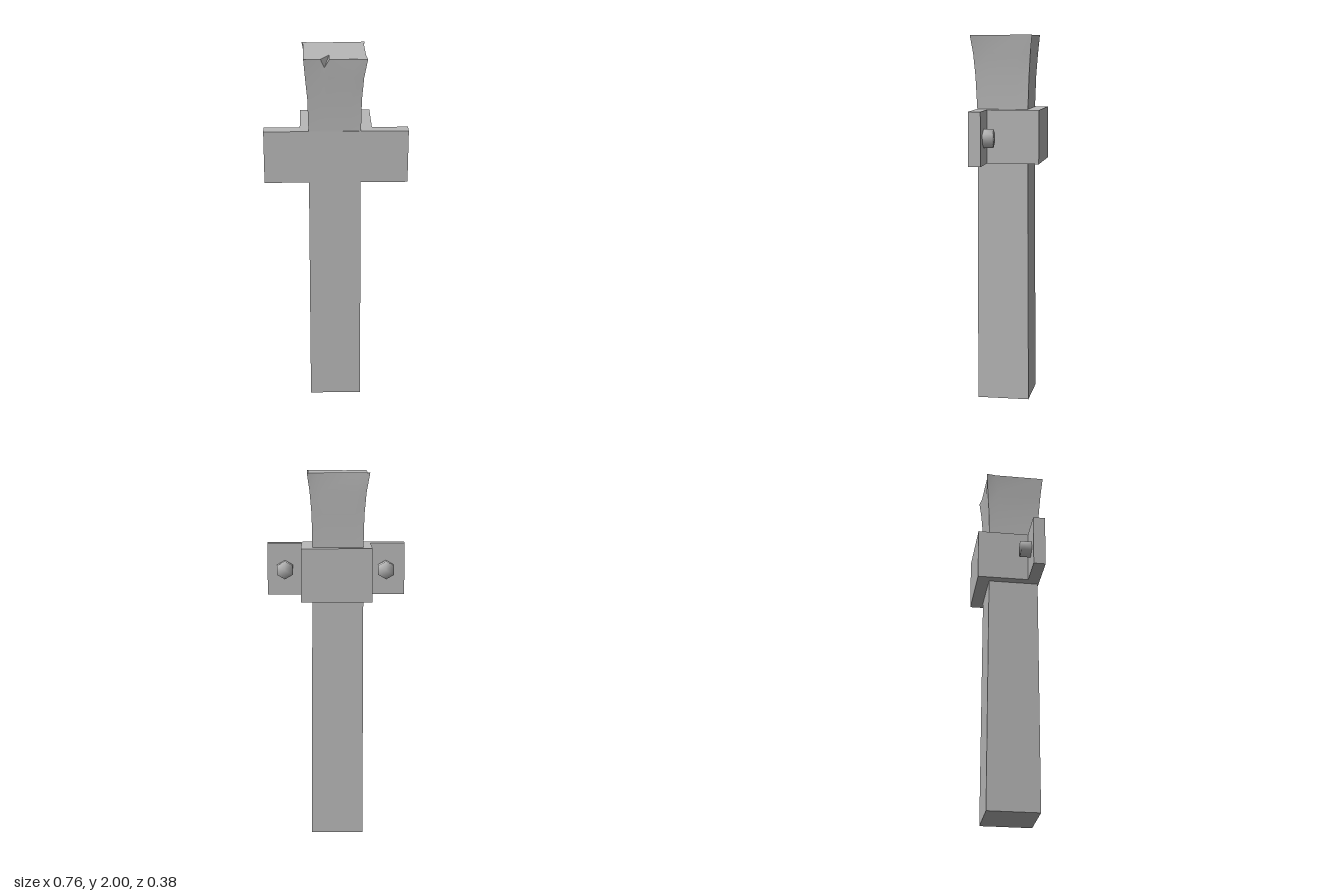
import * as THREE from 'three';
import { mergeVertices, toCreasedNormals } from 'three/addons/utils/BufferGeometryUtils.js';

// Square stake lofted through rectangles, with a battered, flared head
function stakeGeometry() {
  // Head outline: position round the unit square (u, v), then x, y, z at the top
  const head = [
    [-1, -1, -0.177, 2, -0.144], [-0.65, -1, -0.117, 2, -0.137], [0.6, -1, 0.1, 2, -0.139],
    [1, -1, 0.157, 2, -0.147], [1, -0.55, 0.152, 2, -0.08], [1, 0.5, 0.154, 2, 0.1],
    [1, 1, 0.161, 2, 0.187], [0.6, 1, 0.1, 2, 0.18], [-0.2, 1, -0.035, 2, 0.181],
    [-0.35, 1, -0.06, 1.955, 0.176], // bottom of the notch
    [-0.5, 1, -0.08, 2, 0.18], [-1, 1, -0.167, 2, 0.184], [-1, -0.6, -0.168, 2, -0.09],
  ];
  // Levels: y, x min, x max, z min, z max
  const levels = [
    [0, -0.145, 0.139, -0.13, 0.153],
    [1.32, -0.144, 0.131, -0.123, 0.15],
    [1.6, -0.144, 0.13, -0.122, 0.153],
    [1.78, -0.148, 0.133, -0.128, 0.162],
    [1.9, -0.159, 0.143, -0.136, 0.172],
  ];
  const lerp = THREE.MathUtils.lerp;
  const rings = levels.map(([y, x0, x1, z0, z1]) =>
    head.map(([u, v]) => [lerp(x0, x1, (u + 1) / 2), y, lerp(z0, z1, (v + 1) / 2)]));
  rings.push(head.map((p) => p.slice(2)));

  const pos = [];
  const tri = (...points) => points.forEach((p) => pos.push(...p));
  const n = head.length;
  const foot = [0, 0, 0.01];
  const notchEnd = [-0.035, 2, 0.1];
  for (let i = 0; i < n; i++) {
    const j = (i + 1) % n;
    for (let k = 0; k < rings.length - 1; k++) {
      const lo = rings[k], hi = rings[k + 1];
      tri(lo[j], lo[i], hi[i]);
      tri(lo[j], hi[i], hi[j]);
    }
    tri(foot, rings[0][i], rings[0][j]);
    // Fanning from the notch end also forms the two notch walls
    const top = rings[rings.length - 1];
    tri(notchEnd, top[j], top[i]);
  }
  const g = new THREE.BufferGeometry();
  g.setAttribute('position', new THREE.Float32BufferAttribute(pos, 3));
  return toCreasedNormals(g, 0.5);
}

// Clamp footprint: wide front plate with a box collar behind it
function clampGeometry() {
  const outline = [
    [-0.38, 0.155], [0.38, 0.155], [0.38, 0.09], [0.19, 0.09],
    [0.19, -0.19], [-0.19, -0.19], [-0.19, 0.09], [-0.38, 0.09],
  ];
  const shape = new THREE.Shape(outline.map(([x, z]) => new THREE.Vector2(x, -z)));
  const g = new THREE.ExtrudeGeometry(shape, { depth: 0.287, bevelEnabled: false });
  return g.rotateX(-Math.PI / 2).translate(0, 1.318, 0);
}

// Softly shaded six-sided bolt head, points up and down
function boltGeometry(depth) {
  let g = new THREE.CylinderGeometry(0.05, 0.05, depth, 6);
  g.deleteAttribute('normal');
  g.deleteAttribute('uv');
  g = mergeVertices(g);
  g.rotateX(-Math.PI / 2);
  g.computeVertexNormals();
  return g;
}

export function createModel() {
  const model = new THREE.Group();
  model.name = 'clampedStake';
  const grey = new THREE.MeshStandardMaterial({ color: 0xb8b8b8 });
  grey.name = 'plain grey';

  const add = (name, geometry) => {
    const mesh = new THREE.Mesh(geometry, grey);
    mesh.name = name;
    model.add(mesh);
    return mesh;
  };

  add('stake', stakeGeometry());
  add('clamp', clampGeometry());

  // One bolt behind each flange
  for (const [name, x, back] of [['rightBolt', -0.276, 0.032], ['leftBolt', 0.283, 0.038]]) {
    const depth = 0.1 - back;
    add(name, boltGeometry(depth)).position.set(x, 1.46, back + depth / 2);
  }
  return model;
}
